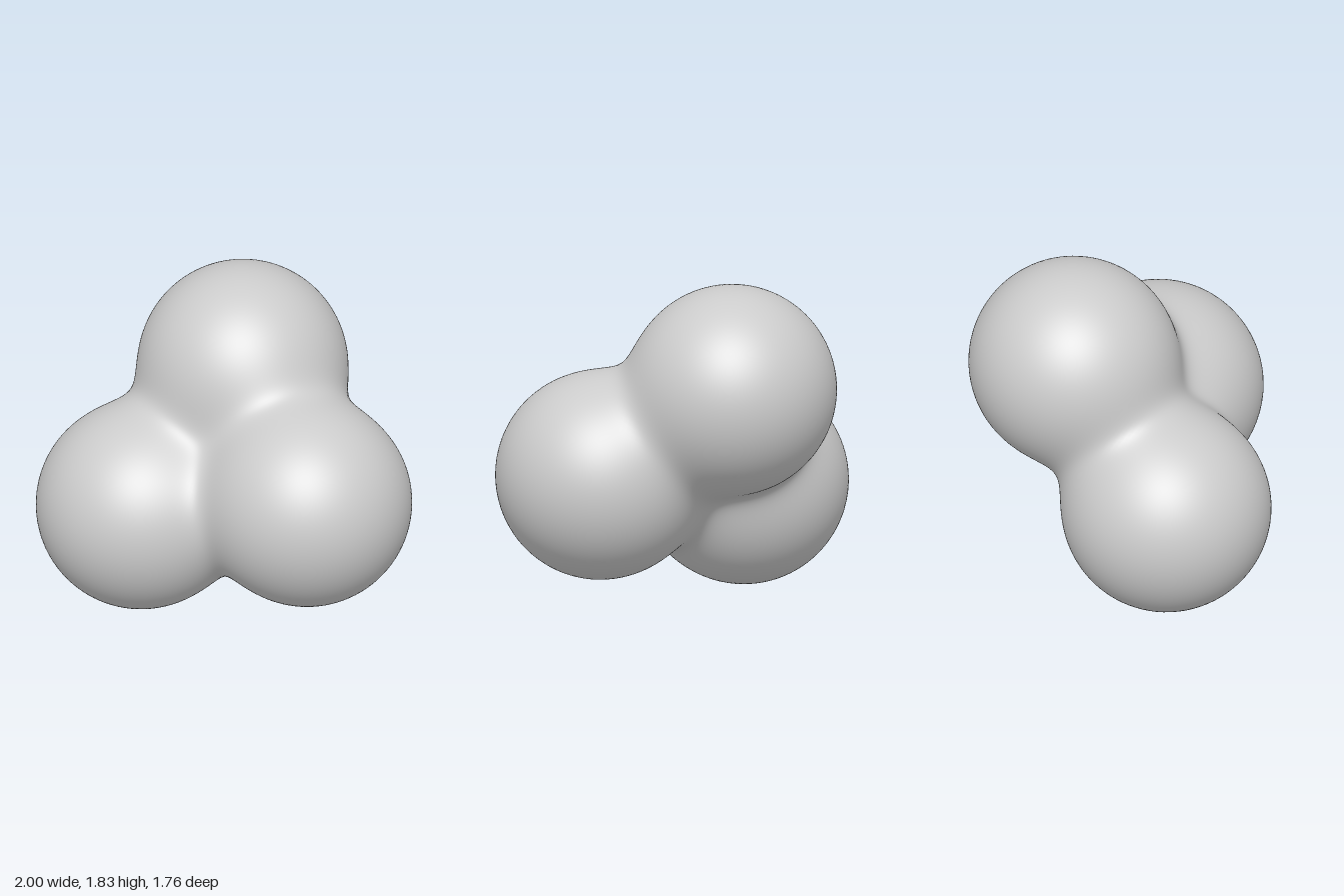
import * as THREE from 'three';

// Three equal balls melted together
const RADIUS = 0.57;
const SHARPNESS = 12; // higher gives tighter creases between the balls
const BALLS = [
  new THREE.Vector3(-0.43, 0.57, 0.31), // lower front
  new THREE.Vector3(-0.26, 1.26, -0.31), // upper back
  new THREE.Vector3(0.43, 0.75, -0.1), // side
];

// Smoothly blended signed distance to the balls
function distance(p) {
  const sum = BALLS.reduce((s, c) => s + Math.exp(-SHARPNESS * (p.distanceTo(c) - RADIUS)), 0);
  return -Math.log(sum) / SHARPNESS;
}

// Outward direction of the blended surface
function surfaceNormal(p) {
  const n = new THREE.Vector3();
  for (const c of BALLS) {
    const weight = Math.exp(-SHARPNESS * (p.distanceTo(c) - RADIUS));
    n.addScaledVector(p.clone().sub(c).normalize(), weight);
  }
  return n.normalize();
}

export function createModel() {
  const group = new THREE.Group();
  group.name = 'blendedBalls';

  // Every ball contains the shared middle, so each ray from it meets the skin once
  const middle = new THREE.Vector3();
  BALLS.forEach((c) => middle.addScaledVector(c, 1 / BALLS.length));

  const geometry = new THREE.IcosahedronGeometry(1, 32);
  const position = geometry.attributes.position;
  const normal = geometry.attributes.normal;
  const dir = new THREE.Vector3();
  const p = new THREE.Vector3();

  for (let i = 0; i < position.count; i++) {
    dir.fromBufferAttribute(position, i).normalize();
    let inside = 0;
    let outside = 1.6;
    for (let step = 0; step < 24; step++) {
      const t = (inside + outside) / 2;
      p.copy(middle).addScaledVector(dir, t);
      if (distance(p) < 0) inside = t;
      else outside = t;
    }
    const n = surfaceNormal(p);
    position.setXYZ(i, p.x, p.y, p.z);
    normal.setXYZ(i, n.x, n.y, n.z);
  }

  const mesh = new THREE.Mesh(geometry, new THREE.MeshStandardMaterial({ color: 0xcccccc }));
  mesh.name = 'blendedBody';
  group.add(mesh);
  return group;
}
